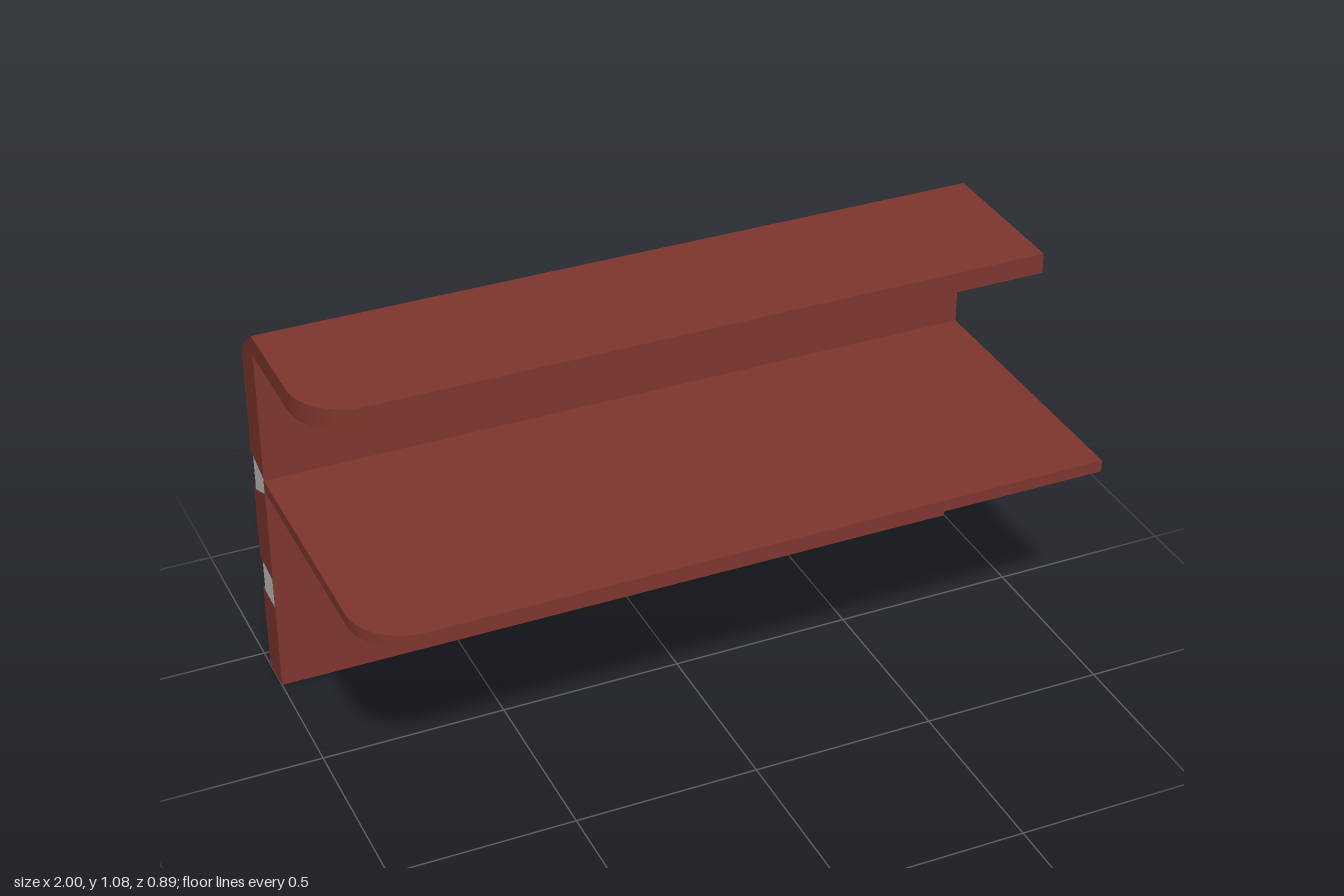
import * as THREE from 'three';
import { toCreasedNormals } from 'three/addons/utils/BufferGeometryUtils.js';

const FRONT = 0.343, BACK = 0.446, LENGTH = 2; // wall depths are measured towards the back (-z)

// Extrude a side profile of [depth, y] points along the full length in x.
function alongX(points) {
  const shape = new THREE.Shape(points.map(([d, y]) => new THREE.Vector2(d, y)));
  const geo = new THREE.ExtrudeGeometry(shape, { depth: LENGTH, bevelEnabled: false });
  geo.rotateY(Math.PI / 2).translate(-LENGTH / 2, 0, 0);
  return toCreasedNormals(geo, 0.6);
}

// Horizontal board reaching from the wall to frontZ, with one rounded front corner.
function board(frontZ, bottom, thickness) {
  const r = 0.15;
  const s = new THREE.Shape();
  s.moveTo(-1, FRONT);
  s.lineTo(-1, -frontZ + r);
  s.absarc(-1 + r, -frontZ + r, r, Math.PI, Math.PI * 1.5, false);
  s.lineTo(1, -frontZ);
  s.lineTo(1, FRONT);
  s.closePath();
  const geo = new THREE.ExtrudeGeometry(s, { depth: thickness, bevelEnabled: false, curveSegments: 5 });
  geo.rotateX(-Math.PI / 2).translate(0, bottom, 0);
  return toCreasedNormals(geo, 0.6);
}

export function createModel() {
  const group = new THREE.Group();
  const red = new THREE.MeshStandardMaterial({ name: 'brownRed', color: 0x7e362e });
  const grey = new THREE.MeshStandardMaterial({ name: 'lightGrey', color: 0xc2c2c2 });
  const add = (name, geo, mat) => {
    const mesh = new THREE.Mesh(geo, mat);
    mesh.name = name;
    group.add(mesh);
  };

  // Slots: low and high edge at the back, then low and high edge inside
  const slots = [
    { name: 'lowerRail', b0: 0.255, b1: 0.35, f0: 0.252, f1: 0.34 },
    { name: 'upperRail', b0: 0.574, b1: 0.677, f0: 0.608, f1: 0.655 },
  ];
  const inner = FRONT + 0.003, face = 0.427;

  // Back wall with chamfered top edge and two slots
  const profile = [[FRONT, 0], [BACK, 0]];
  for (const { b0, b1, f0, f1 } of slots) {
    profile.push([BACK, b0], [face, b0], [inner, f0], [inner, f1], [face, b1], [BACK, b1]);
  }
  profile.push([BACK, 0.965], [0.428, 1.01], [FRONT, 1.077]);
  add('backWall', alongX(profile), red);

  // Grey rails set into the slots
  for (const { name, b0, b1, f0, f1 } of slots) {
    add(name, alongX([[inner, f0], [face, b0], [face, b1], [inner, f1]]), grey);
  }

  // Shelves
  add('topShelf', board(0.089, 1.02, 0.057), red);
  add('middleShelf', board(0.446, 0.617, 0.033), red);
  return group;
}
